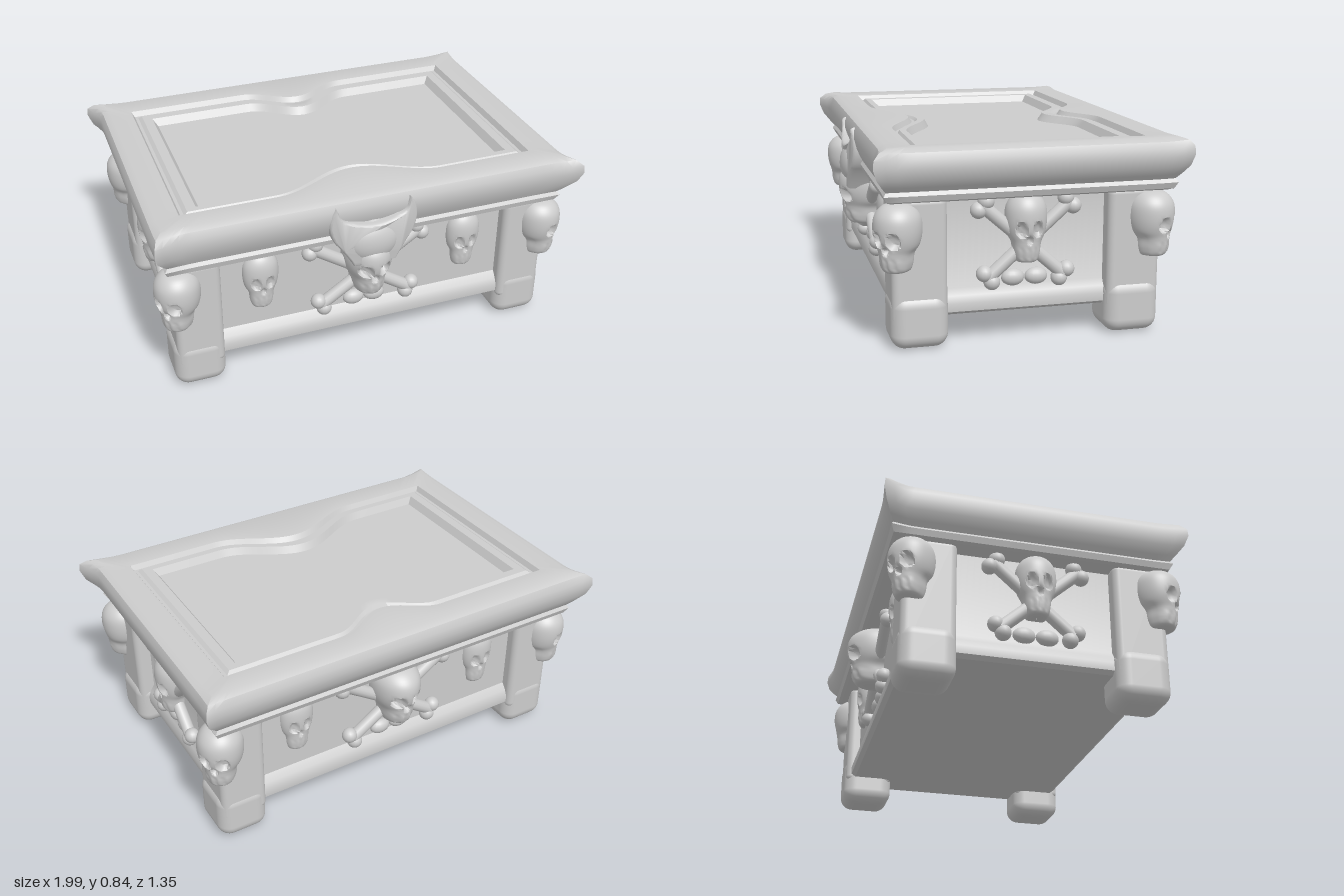
import * as THREE from 'three';
import { toCreasedNormals } from 'three/addons/utils/BufferGeometryUtils.js';
import { RoundedBoxGeometry } from 'three/addons/geometries/RoundedBoxGeometry.js';

const stone = new THREE.MeshStandardMaterial({ color: 0xcccccc });
stone.name = 'stone';

function add(parent, name, geometry, x = 0, y = 0, z = 0) {
  const mesh = new THREE.Mesh(geometry, stone);
  mesh.name = name;
  mesh.position.set(x, y, z);
  parent.add(mesh);
  return mesh;
}

// Pull of each lid corner away from a plain rectangle
const flares = { '-1,1': [0, 0.045], '1,1': [0.045, 0.03], '1,-1': [0.01, -0.015], '-1,-1': [-0.045, -0.015] };

// One closed outline, anticlockwise from above, with waisted long edges and flared corners
function outline([y, hx, zFront, zBack, notch = 0, flare = 0]) {
  const points = [];
  const put = (u, v) => {
    const halfWidth = v > 0 ? 0.38 : 0.25;
    const x = u * hx;
    let z = v > 0 ? zFront * v : -zBack * v;
    if (Math.abs(v) === 1 && Math.abs(x) < halfWidth) {
      z -= v * notch * (v > 0 ? 1 : 0.82) * Math.cos(x / halfWidth * Math.PI / 2) ** 2;
    }
    const reach = Math.max(0, (Math.min(Math.abs(u), Math.abs(v)) - 0.86) / 0.14) ** 1.5 * flare;
    const [dx, dz] = flares[`${Math.sign(u) || 1},${Math.sign(v) || 1}`];
    points.push([x + dx * reach, y + 0.012 * reach, z + dz * reach]);
  };
  const long = 56, short = 36;
  for (let i = 0; i < long; i++) put(-1 + 2 * i / long, 1);
  for (let i = 0; i < short; i++) put(1, 1 - 2 * i / short);
  for (let i = 0; i < long; i++) put(1 - 2 * i / long, -1);
  for (let i = 0; i < short; i++) put(-1, -1 + 2 * i / short);
  return points;
}

// Skin through successive outlines
function loft(rows, crease) {
  const rings = rows.map(outline);
  const n = rings[0].length;
  const index = [];
  for (let i = 0; i < rings.length - 1; i++) {
    for (let j = 0; j < n; j++) {
      const a = i * n + j, b = i * n + (j + 1) % n;
      index.push(a, b, b + n, a, b + n, a + n);
    }
  }
  const geometry = new THREE.BufferGeometry();
  geometry.setAttribute('position', new THREE.Float32BufferAttribute(rings.flat(2), 3));
  geometry.setIndex(index);
  return toCreasedNormals(geometry, crease);
}

// Unit skull: turned head and jaw, with sockets, nose and teeth pressed in
function makeSkull() {
  const profile = new THREE.CatmullRomCurve3([[0.01, -1], [0.5, -0.97], [0.62, -0.75], [0.68, -0.45], [0.88, -0.2],
    [0.98, 0.2], [0.92, 0.6], [0.62, 0.88], [0.01, 1]].map(([x, y]) => new THREE.Vector3(x, y, 0)));
  const geometry = new THREE.LatheGeometry(profile.getPoints(36).map(p => new THREE.Vector2(Math.max(p.x, 0), p.y)), 56);
  const pos = geometry.attributes.position;
  const dent = (x, y, cx, cy, r) => Math.max(0, 1 - ((x - cx) ** 2 + (y - cy) ** 2) / r ** 2);
  for (let i = 0; i < pos.count; i++) {
    const x = pos.getX(i), y = pos.getY(i);
    let z = pos.getZ(i);
    if (z > 0) {
      z -= 0.4 * Math.min(0.7, dent(x, y, 0.38, -0.02, 0.25) + dent(x, y, -0.38, -0.02, 0.25));
      z -= 0.25 * dent(x, y, 0, -0.32, 0.14);
      z += 0.15 * THREE.MathUtils.smoothstep(-y, 0.2, 0.5);
      if (y < -0.6 && y > -0.9) z -= 0.025 * Math.cos(x * 20);
    }
    pos.setZ(i, z);
  }
  return toCreasedNormals(geometry, 0.8);
}
const skullGeometry = makeSkull();

function skull(parent, name, position, size, turn = 0) {
  const mesh = add(parent, name, skullGeometry, ...position);
  mesh.scale.set(...size);
  mesh.rotation.y = turn;
}

// Bone with two knuckles at each end
function bone(parent, from, to) {
  const a = new THREE.Vector3(...from), b = new THREE.Vector3(...to);
  const dir = b.clone().sub(a);
  const mid = a.clone().add(b).multiplyScalar(0.5);
  const shaft = add(parent, 'boneShaft', new THREE.CylinderGeometry(0.028, 0.028, dir.length(), 14), ...mid);
  dir.normalize();
  shaft.quaternion.setFromUnitVectors(new THREE.Vector3(0, 1, 0), dir);
  for (const end of [a, b]) {
    for (const s of [-1, 1]) {
      add(parent, 'boneKnuckle', new THREE.SphereGeometry(0.035, 16, 12), end.x - s * dir.y * 0.024, end.y + s * dir.x * 0.024, end.z);
    }
  }
}

// Skull and crossed bones, facing +z from a wall at z = 0
function emblem(name, upper, lower, skullWidth, skullDepth) {
  const group = new THREE.Group();
  group.name = name;
  for (const s of [-1, 1]) {
    bone(group, [-s * upper, 0.58, 0.02], [s * lower, 0.275, 0.02]);
    const lump = add(group, 'jawFragment', new THREE.SphereGeometry(0.045, 16, 12), s * 0.05, 0.265, 0);
    lump.scale.set(1.1, 0.8, 0.7);
  }
  skull(group, 'emblemSkull', [0, 0.485, 0.015], [skullWidth, 0.145, skullDepth]);
  return group;
}

// Horned brow above the front skull, curved back towards its sides
function hornedBrow() {
  const shape = new THREE.Shape();
  shape.moveTo(-0.09, 0.53);
  shape.quadraticCurveTo(-0.13, 0.6, -0.165, 0.64);
  shape.quadraticCurveTo(-0.215, 0.72, -0.175, 0.8);
  shape.quadraticCurveTo(-0.165, 0.74, -0.11, 0.73);
  shape.quadraticCurveTo(0, 0.69, 0.11, 0.73);
  shape.quadraticCurveTo(0.165, 0.74, 0.165, 0.8);
  shape.quadraticCurveTo(0.215, 0.72, 0.165, 0.64);
  shape.quadraticCurveTo(0.13, 0.6, 0.09, 0.53);
  const geometry = new THREE.ExtrudeGeometry(shape, { depth: 0.1, bevelThickness: 0.02, bevelSize: 0.01, bevelSegments: 3, curveSegments: 10 });
  const pos = geometry.attributes.position;
  for (let i = 0; i < pos.count; i++) pos.setZ(i, pos.getZ(i) - 0.7 * pos.getX(i) ** 2);
  return toCreasedNormals(geometry, 0.7);
}

export function createModel() {
  const model = new THREE.Group();
  model.name = 'carvedChest';

  // Body with a base moulding
  add(model, 'body', loft([
    [0.125, 0, 0, 0], [0.125, 0.815, 0.52, -0.53], [0.14, 0.835, 0.54, -0.55], [0.175, 0.838, 0.542, -0.552],
    [0.205, 0.825, 0.528, -0.538], [0.235, 0.805, 0.505, -0.515], [0.63, 0.805, 0.505, -0.515], [0.63, 0, 0, 0],
  ], 0.6));

  // Lid: moulded rim, groove, raised bead and sunken waisted panel
  add(model, 'lid', loft([
    [0.615, 0, 0, 0], [0.615, 0.87, 0.565, -0.595], [0.625, 0.895, 0.585, -0.62], [0.65, 0.905, 0.592, -0.63, 0, 0.2],
    [0.665, 0.893, 0.582, -0.62, 0, 0.2], [0.685, 0.91, 0.592, -0.635, 0, 0.45], [0.72, 0.938, 0.608, -0.655, 0, 0.8],
    [0.765, 0.95, 0.618, -0.665, 0, 1], [0.8, 0.947, 0.615, -0.662, 0, 1], [0.828, 0.935, 0.603, -0.65, 0, 0.6],
    [0.842, 0.905, 0.575, -0.62, 0, 0.3], [0.835, 0.805, 0.472, -0.522, 0.13], [0.812, 0.792, 0.46, -0.508, 0.135],
    [0.812, 0.778, 0.447, -0.493, 0.135], [0.823, 0.762, 0.438, -0.478, 0.138], [0.823, 0.72, 0.41, -0.44, 0.143],
    [0.79, 0.698, 0.393, -0.418, 0.145], [0.79, 0, 0, 0],
  ], 0.6));

  // Corner posts, feet and skulls
  for (const sx of [-1, 1]) {
    for (const sz of [-1, 1]) {
      const z = sz > 0 ? 0.45 : -0.46;
      add(model, 'foot', new RoundedBoxGeometry(0.228, 0.235, 0.24, 6, 0.06), sx * 0.773, 0.12, z);
      add(model, 'cornerPost', new RoundedBoxGeometry(0.21, 0.53, 0.23, 4, 0.03), sx * 0.769, 0.37, z);
      skull(model, 'cornerSkull', [sx * 0.85, 0.48, sz * 0.535], [0.1, 0.14, 0.105], Math.atan2(sx, sz));
      skull(model, 'smallSkull', [sx * 0.48, 0.47, sz * 0.505], [0.082, 0.135, 0.06], sz > 0 ? 0 : Math.PI);
    }
  }

  // Emblems on the four walls
  const front = emblem('frontEmblem', 0.25, 0.21, 0.115, 0.15);
  front.position.z = 0.51;
  add(front, 'hornedBrow', hornedBrow(), 0, 0, 0.02);
  const dome = add(front, 'forehead', new THREE.SphereGeometry(0.125, 28, 20), 0, 0.62, 0.085);
  dome.scale.set(1, 0.85, 0.55);
  const back = emblem('backEmblem', 0.25, 0.21, 0.115, 0.155);
  back.position.z = -0.515;
  back.rotation.y = Math.PI;
  model.add(front, back);
  for (const s of [-1, 1]) {
    const side = emblem(s > 0 ? 'leftEmblem' : 'rightEmblem', 0.185, 0.16, 0.09, 0.085);
    side.position.x = s * 0.81;
    side.rotation.y = s * Math.PI / 2;
    model.add(side);
  }
  return model;
}
